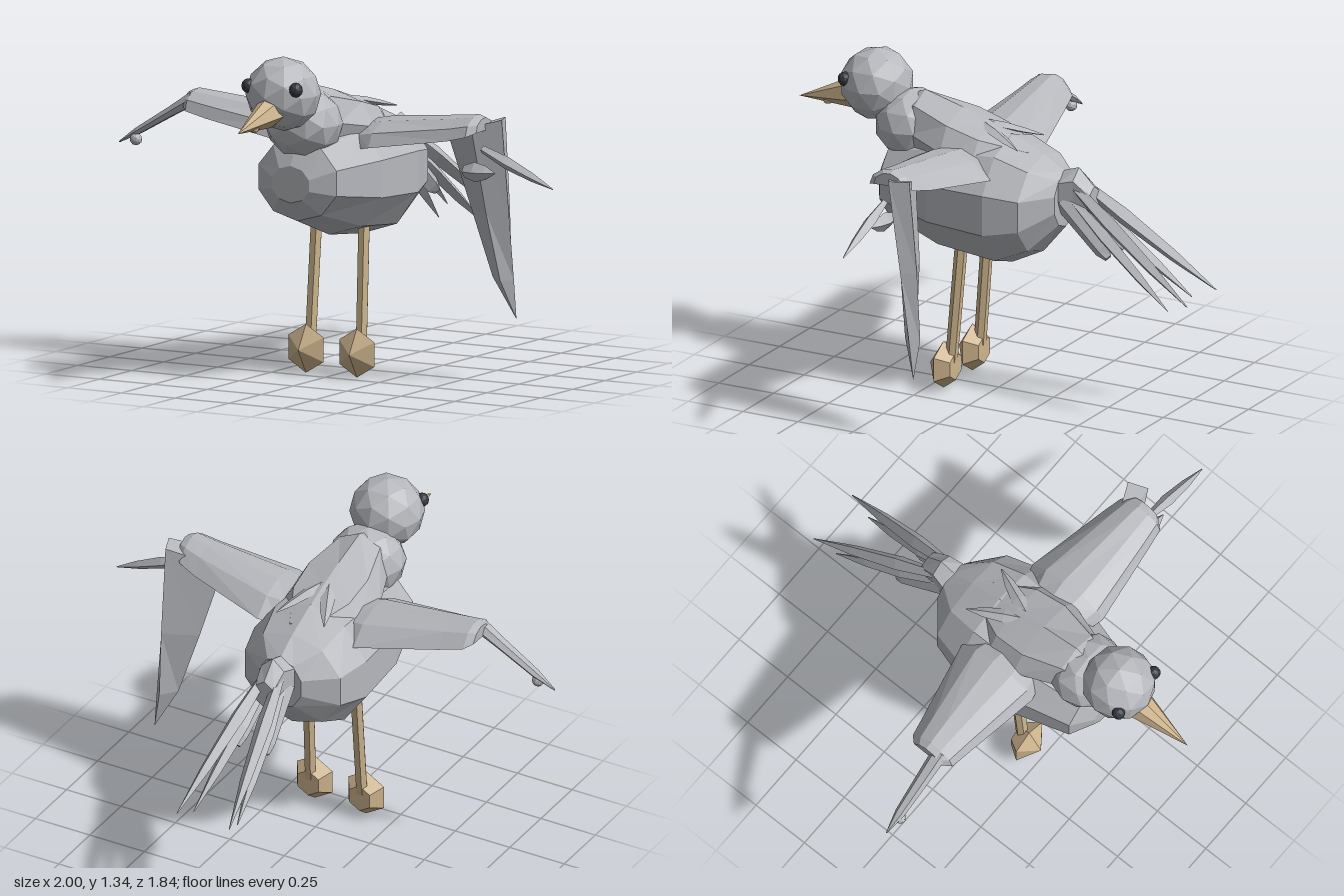
import * as THREE from 'three';

const V = (p) => new THREE.Vector3(...p);
const paint = (name, color) => {
  const m = new THREE.MeshStandardMaterial({ color, flatShading: true });
  m.name = name;
  return m;
};

// Closed skin over rings of points with equal counts; turned outward by its signed volume
function loft(rings) {
  const tris = [];
  const n = rings[0].length;
  for (let i = 0; i < rings.length - 1; i++) {
    for (let j = 0; j < n; j++) {
      const k = (j + 1) % n, a = rings[i], b = rings[i + 1];
      tris.push([a[j], a[k], b[k]], [a[j], b[k], b[j]]);
    }
  }
  const first = rings[0], last = rings[rings.length - 1];
  for (let j = 1; j < n - 1; j++) {
    tris.push([first[0], first[j + 1], first[j]], [last[0], last[j], last[j + 1]]);
  }
  const c = V(first[0]);
  let volume = 0;
  for (const t of tris) {
    const [p, q, r] = t.map((v) => V(v).sub(c));
    volume += p.dot(q.cross(r));
  }
  if (volume < 0) tris.forEach((t) => t.reverse());
  const g = new THREE.BufferGeometry();
  g.setAttribute('position', new THREE.Float32BufferAttribute(tris.flat(2), 3));
  g.computeVertexNormals();
  return g;
}

// Elliptical rings along z from rows of [z, bottom, top, halfWidth]
const hull = (rows, sides) => loft(rows.map(([z, y0, y1, w]) =>
  Array.from({ length: sides }, (_, i) => {
    const a = (i / sides) * Math.PI * 2 + Math.PI / 2;
    return [Math.cos(a) * w, (y0 + y1) / 2 + Math.sin(a) * (y1 - y0) / 2, z];
  })));

// Tapered bar from a to b; stations are [fraction, half width, half thickness]
function bar(a, b, stations, sides = 4) {
  const A = V(a), B = V(b), dir = B.clone().sub(A).normalize();
  const ref = Math.abs(dir.y) > 0.9 ? V([0, 0, 1]) : V([0, 1, 0]);
  const side = dir.clone().cross(ref).normalize(), up = side.clone().cross(dir);
  return loft(stations.map(([t, w, h]) => Array.from({ length: sides }, (_, i) => {
    const q = (i / sides) * Math.PI * 2;
    return A.clone().lerp(B, t).addScaledVector(side, Math.cos(q) * w)
      .addScaledVector(up, Math.sin(q) * h).toArray();
  })));
}
const feather = (a, b, w, h) =>
  bar(a, b, [[0, w * 0.55, h * 0.6], [0.35, w, h], [0.7, w * 0.7, h * 0.7], [1, 0.002, 0.002]]);

export function createModel() {
  const model = new THREE.Group();
  model.name = 'bird';
  const grey = paint('plumage grey', 0xb6b8bd);
  const tan = paint('beak and leg tan', 0xcdb48d);
  const dark = paint('eye dark', 0x353942);

  const torso = new THREE.Group();
  torso.name = 'torso';
  torso.position.x = -0.01;
  model.add(torso);
  const add = (name, geometry, material = grey, parent = model) => {
    const mesh = new THREE.Mesh(geometry, material);
    mesh.name = name;
    parent.add(mesh);
    return mesh;
  };
  const ball = (name, p, r, material, parent, detail = 1) => {
    const m = add(name, new THREE.IcosahedronGeometry(1, detail), material, parent);
    m.position.set(...p);
    m.scale.set(...r);
    return m;
  };

  // Body, back and head
  add('body', hull([
    [0.505, 0.74, 0.89, 0.09], [0.45, 0.66, 0.99, 0.19], [0.2, 0.57, 1.06, 0.26],
    [-0.06, 0.54, 1.08, 0.27], [-0.2, 0.61, 1.02, 0.23], [-0.3, 0.73, 0.96, 0.1],
  ], 10), grey, torso);
  add('mantle', hull([
    [0.43, 0.96, 1.16, 0.09], [0.34, 0.9, 1.2, 0.13], [0.17, 0.88, 1.155, 0.19],
    [0.03, 0.88, 1.11, 0.18], [-0.15, 0.96, 1.04, 0.06],
  ], 8), grey, torso);
  ball('neck', [0, 1.05, 0.4], [0.16, 0.145, 0.15], grey, torso);
  ball('head', [0, 1.19, 0.56], [0.152, 0.15, 0.15], grey, torso);

  // Beak with a flat underside
  add('beak', loft([
    [[-0.07, 1.12, 0.64], [-0.045, 1.18, 0.66], [0, 1.205, 0.66],
      [0.045, 1.18, 0.66], [0.07, 1.12, 0.64], [0, 1.065, 0.66]],
    Array.from({ length: 6 }, () => [0, 1.075, 0.915]),
  ]), tan, torso);
  ball('beakKnob', [0, 1.08, 0.785], [0.018, 0.018, 0.022], tan, torso);

  // Mirrored eyes, back feathers and tail feathers
  for (const s of [-1, 1]) {
    ball('eye', [s * 0.11, 1.225, 0.648], [0.028, 0.03, 0.028], dark, torso);
    add('backFeather', feather([s * 0.01, 1.11, 0.08], [s * 0.11, 1.055, -0.14], 0.03, 0.015), grey, torso);
    add('upperTailFeather', feather([s * 0.025, 0.94, -0.32], [s * 0.12, 0.53, -0.92], 0.032, 0.035), grey, torso);
    add('lowerTailFeather', feather([s * 0.035, 0.87, -0.34], [s * 0.1, 0.49, -0.82], 0.03, 0.03), grey, torso);
    add('sideTailFeather', bar([s * 0.04, 0.85, -0.31], [s * 0.065, 0.655, -0.53],
      [[0, 0.03, 0.05], [0.85, 0.025, 0.04], [1, 0.015, 0.02]]), grey, torso);
  }
  add('tailBase', hull([
    [-0.25, 0.82, 0.94, 0.08], [-0.3, 0.81, 0.97, 0.075],
    [-0.36, 0.81, 0.99, 0.06], [-0.43, 0.8, 0.92, 0.05],
  ], 6), grey, torso);

  // Arched wings: each ring has a rounded top and a shallow hollow below
  const arch = (x, low, high, zBack, zFront) => {
    const at = (f) => zBack + (zFront - zBack) * f;
    return [
      [x, low, at(0)], [x, low + (high - low) * 0.7, at(0.2)], [x, high, at(0.45)],
      [x, high - (high - low) * 0.1, at(0.7)], [x, low + (high - low) * 0.5, at(0.92)],
      [x, low - 0.005, at(1)], [x, low + (high - low) * 0.3, at(0.7)],
      [x, low + (high - low) * 0.35, at(0.35)],
    ];
  };
  for (const s of [-1, 1]) {
    const tip = s > 0 ? 0.67 : 0.69;
    add(s > 0 ? 'leftWing' : 'rightWing', loft([
      arch(s * 0.14, 0.94, 1.04, -0.05, 0.26),
      arch(s * 0.22, 0.955, 1.055, -0.08, 0.285),
      arch(s * 0.56, 1.005, 1.09, 0.005, 0.245),
      arch(s * (tip - 0.03), 1.025, 1.1, 0.03, 0.235),
      arch(s * tip, 1.04, 1.09, 0.06, 0.2),
    ]));
  }

  // Right forewing with its bead
  add('rightWingTip', bar([-0.655, 1.065, 0.17], [-1, 0.86, 0.175],
    [[0, 0.035, 0.03], [0.3, 0.03, 0.022], [0.75, 0.022, 0.016], [1, 0.003, 0.003]], 6));
  ball('rightWingBead', [-0.92, 0.878, 0.18], [0.025, 0.025, 0.025], grey);

  // Left hanging forewing and loose feathers
  add('leftHangingWing', loft([
    [[0.485, 1.01, 0.11], [0.62, 1.05, 0.155], [0.73, 1.08, 0.1], [0.7, 1.08, 0.02]],
    [[0.56, 0.7, 0.05], [0.65, 0.7, 0.09], [0.73, 0.7, 0.045], [0.7, 0.7, -0.015]],
    [[0.64, 0.43, 0.02], [0.69, 0.42, 0.045], [0.73, 0.42, 0.005], [0.7, 0.42, -0.03]],
    Array.from({ length: 4 }, () => [0.73, 0.26, -0.015]),
  ]));
  add('leftTipFeather', feather([0.67, 0.965, 0.15], [1, 0.83, 0.155], 0.026, 0.026));
  add('leftSmallFeather', feather([0.59, 0.87, 0.16], [0.74, 0.875, 0.17], 0.03, 0.04));

  // Legs and faceted feet
  for (const s of [-1, 1]) {
    const x = s * 0.11 - 0.01, foot = s * 0.118 - 0.007;
    add('leg', bar([x, 0.62, 0.115], [foot, 0.12, 0.155], [[0, 0.026, 0.026], [1, 0.025, 0.025]], 6), tan);
    const ring = (r, z) => Array.from({ length: 6 }, (_, i) => {
      const a = (i / 6) * Math.PI * 2 + Math.PI / 2;
      return [foot + Math.cos(a) * r, 0.1 + Math.sin(a) * r * 1.05, z];
    });
    add('foot', loft([ring(0.001, 0.25), ring(0.094, 0.19), ring(0.055, 0.135)]), tan);
  }
  return model;
}
